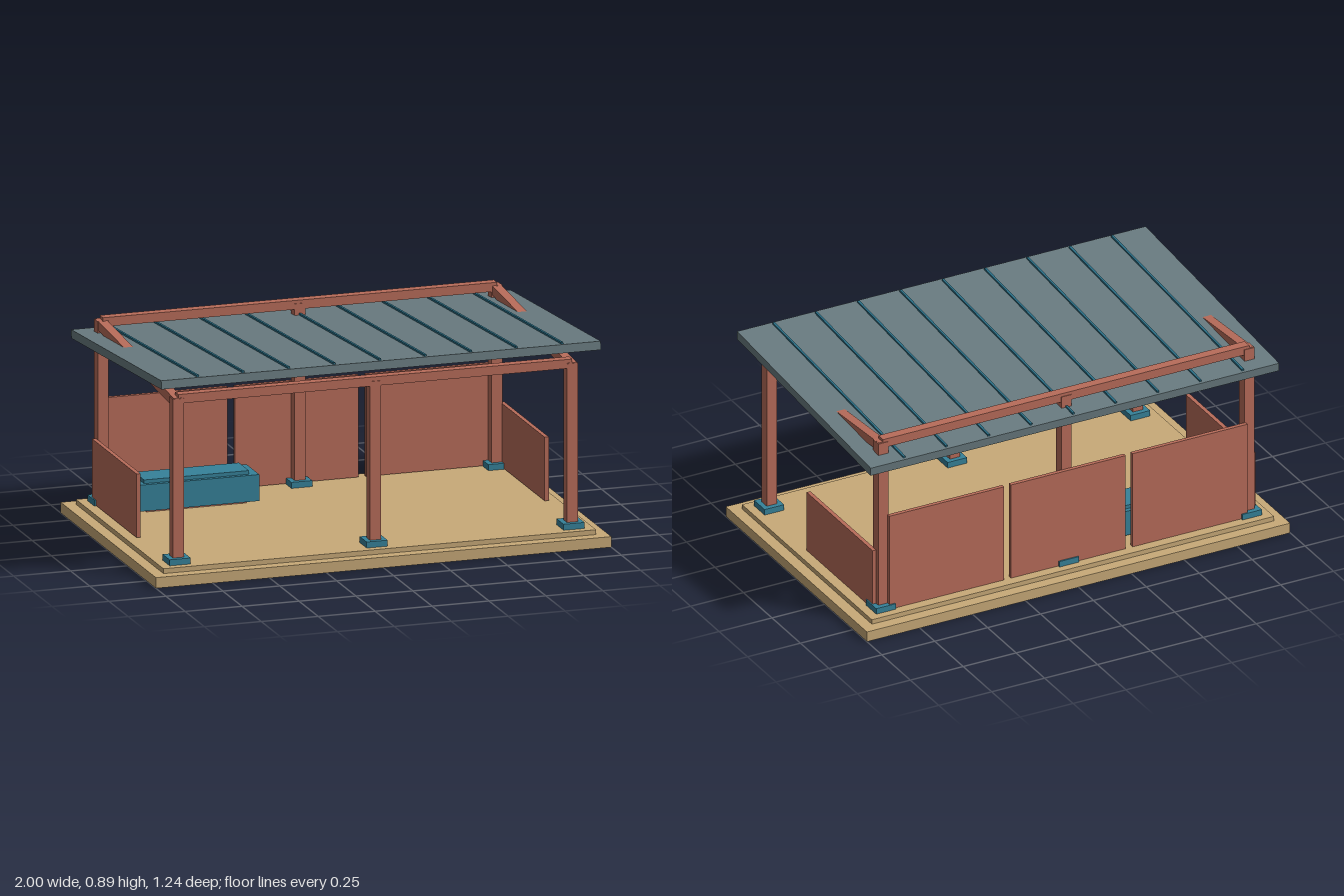
import * as THREE from 'three';

const mat = (color) => new THREE.MeshStandardMaterial({ color });

export function createModel() {
  const group = new THREE.Group();
  const wood = mat(0xb86c5a), sand = mat(0xc8aa78), teal = mat(0x36829a);
  const slate = mat(0x697b80), seamTeal = mat(0x2a7088);

  // Box from its extents on each axis
  const box = (name, material, [x0, x1], [y0, y1], [z0, z1], parent = group) => {
    const mesh = new THREE.Mesh(new THREE.BoxGeometry(x1 - x0, y1 - y0, z1 - z0), material);
    mesh.position.set((x0 + x1) / 2, (y0 + y1) / 2, (z0 + z1) / 2);
    mesh.name = name;
    parent.add(mesh);
    return mesh;
  };
  const around = (c, half) => [c - half, c + half];

  // Stepped floor
  box('base', sand, [-1, 1], [0, 0.046], [-0.62, 0.62]);
  box('floor', sand, [-0.95, 0.95], [0.046, 0.067], [-0.57, 0.57]);

  // Posts on footings, with a beam along each row
  const postX = 0.865, rowZ = 0.49;
  for (const [side, z, postTop, beamTop] of [['front', rowZ, 0.778, 0.796], ['back', -rowZ, 0.856, 0.87]]) {
    for (const x of [-postX, 0, postX]) {
      box(side + 'Footing', teal, around(x, 0.046), [0.067, 0.093], around(z, 0.046));
      box(side + 'Post', wood, around(x, 0.024), [0.093, postTop], around(z, 0.024));
    }
    box(side + 'Beam', wood, [-postX, postX], [beamTop - 0.039, beamTop], around(z, 0.021));
  }

  // End rafters rising to the back
  const rise = 0.074;
  for (const x of [-postX, postX]) {
    const rafter = box('rafter', wood, around(x, 0.02), around(0.8, 0.02), [-0.512, 0.512]);
    rafter.rotation.x = Math.atan2(rise, 2 * rowZ);
  }

  // Roof sheet with standing seams, rising to the front
  const roof = new THREE.Group();
  roof.name = 'roof';
  roof.position.y = 0.822;
  roof.rotation.x = -0.074;
  group.add(roof);
  box('roofSheet', slate, [-0.965, 0.965], around(0, 0.0185), [-0.588, 0.588], roof);
  for (let i = -4; i <= 4; i++) {
    box('roofSeam', seamTeal, around(i * 0.2, 0.005), [0.0175, 0.0265], [-0.575, 0.575], roof);
  }

  // Back and side screens
  for (const x of [-0.575, 0, 0.575]) {
    box('backPanel', wood, around(x, 0.271), [0.07, 0.511], [-0.53, -0.512]);
  }
  for (const s of [-1, 1]) {
    box('sidePanel', wood, around(s * 0.896, 0.009), [0.07, 0.345], [-0.493, 0.087]);
  }

  // Storage bench with plinth and lid
  const bench = new THREE.Group();
  bench.name = 'bench';
  group.add(bench);
  box('benchPlinth', wood, [-0.735, -0.295], [0.067, 0.076], [-0.42, -0.29], bench);
  box('benchBox', teal, [-0.785, -0.245], [0.076, 0.19], [-0.44, -0.272], bench);
  box('benchLid', teal, [-0.745, -0.285], [0.19, 0.206], [-0.42, -0.29], bench);

  return group;
}
